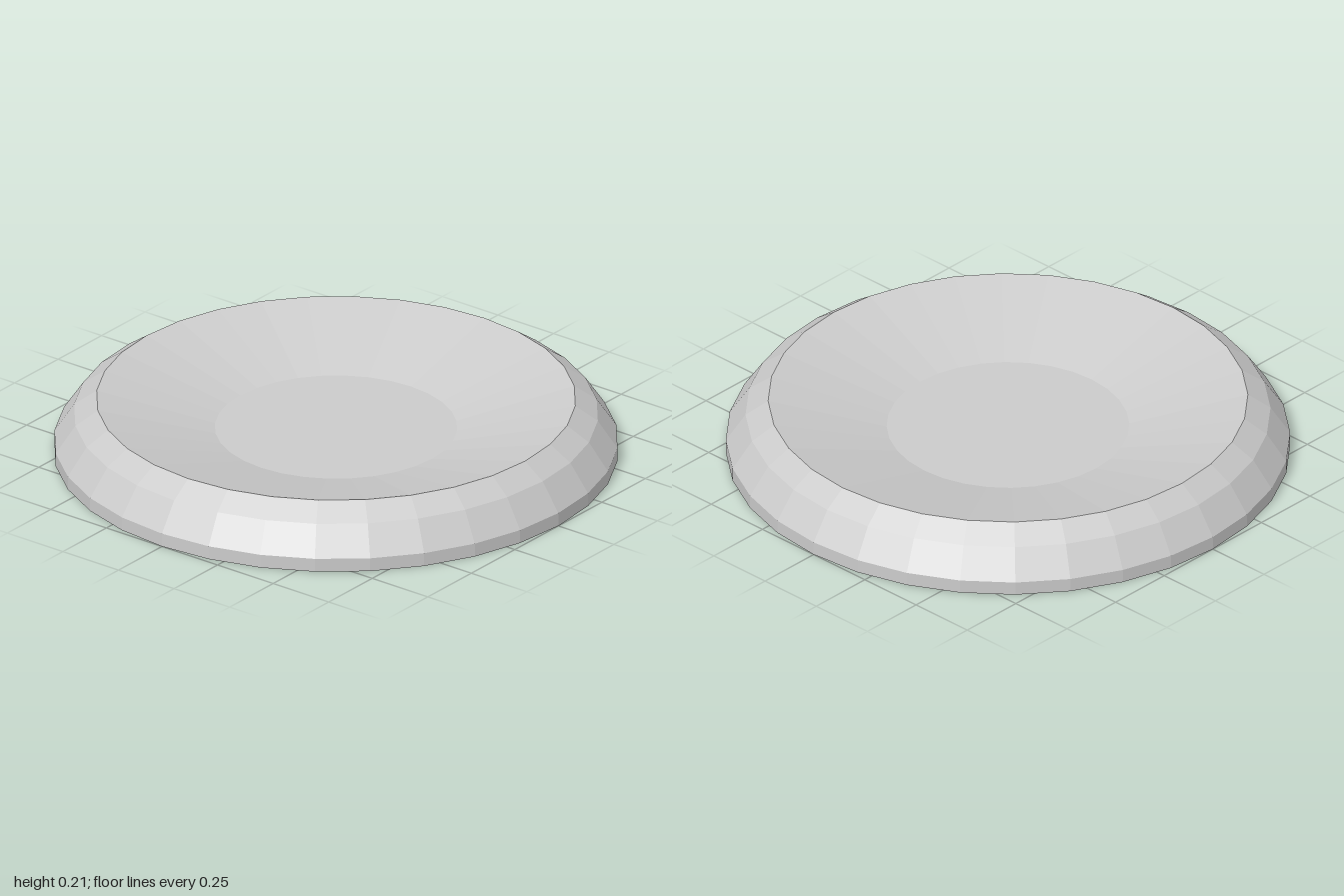
import * as THREE from 'three';

const SIDES = 32;

export function createModel() {
  const group = new THREE.Group();
  const material = new THREE.MeshStandardMaterial({
    color: 0xcccccc, flatShading: true, side: THREE.DoubleSide,
  });

  // Faceted surface of revolution from [radius, height] pairs
  const addRing = (name, profile) => {
    const points = profile.map(([r, y]) => new THREE.Vector2(r, y));
    const mesh = new THREE.Mesh(new THREE.LatheGeometry(points, SIDES), material);
    mesh.name = name;
    group.add(mesh);
  };

  // Outer wall: short upright foot, then two bevels up to the lip (open below)
  addRing('outerWall', [[1, 0], [1, 0.05], [0.93, 0.154], [0.85, 0.21]]);

  // Sloping inside of the bowl
  addRing('innerSlope', [[0.85, 0.21], [0.43, 0.097]]);

  // Flat centre of the bowl
  const floor = new THREE.Mesh(new THREE.CircleGeometry(0.43, SIDES), material);
  floor.name = 'bowlFloor';
  floor.rotation.x = -Math.PI / 2;
  floor.position.y = 0.097;
  group.add(floor);

  return group;
}
